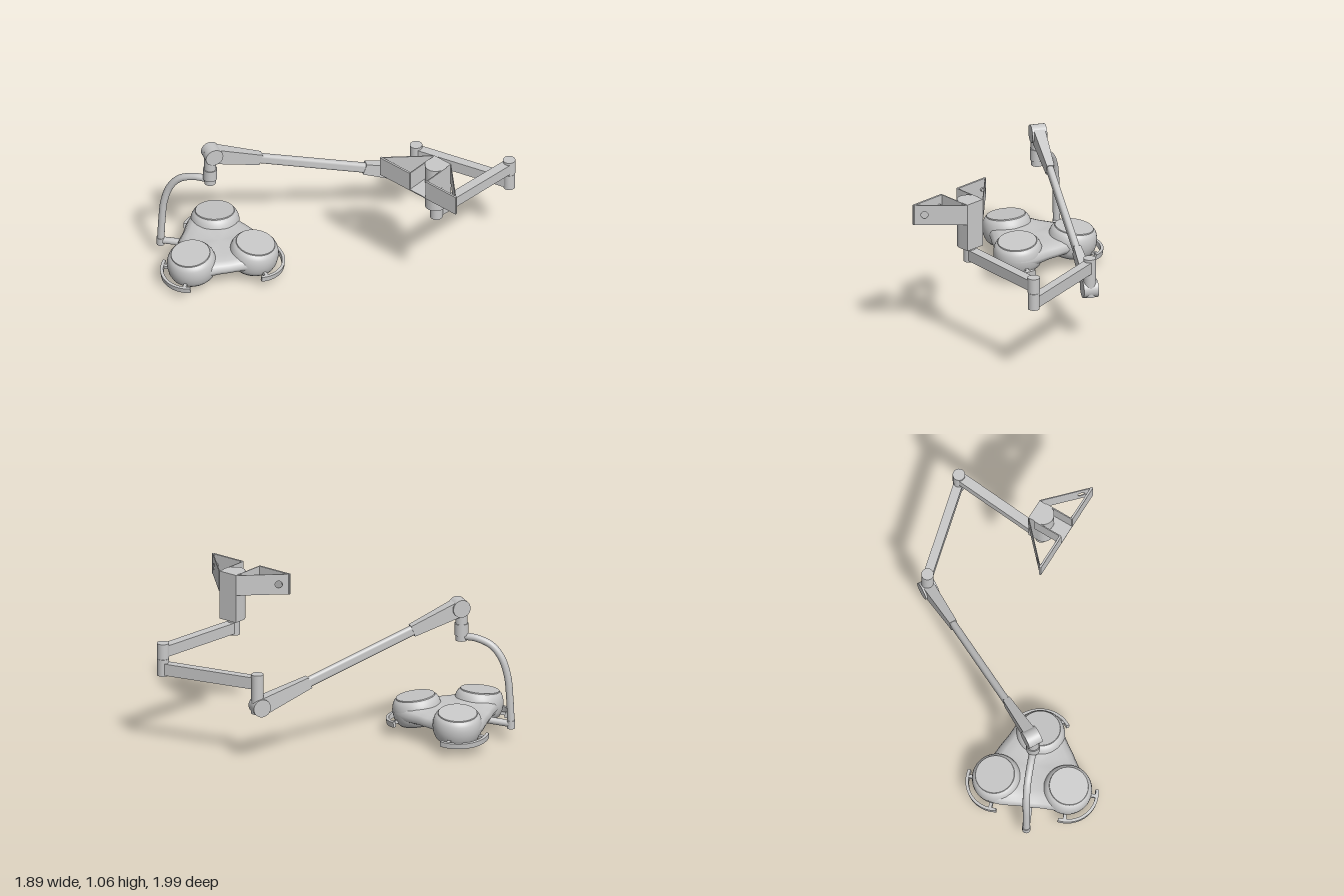
import * as THREE from 'three';
import { mergeVertices, toCreasedNormals } from 'three/addons/utils/BufferGeometryUtils.js';
import { RoundedBoxGeometry } from 'three/addons/geometries/RoundedBoxGeometry.js';

const grey = new THREE.MeshStandardMaterial({ color: 0xc8c8c8 });
grey.name = 'lightGrey';
const V = (x, y, z) => new THREE.Vector3(x, y, z);

function add(parent, name, geometry, x = 0, y = 0, z = 0) {
  const mesh = new THREE.Mesh(geometry, grey);
  mesh.name = name;
  mesh.position.set(x, y, z);
  parent.add(mesh);
  return mesh;
}

// Upright cylinder between two heights
function post(parent, name, x, z, y0, y1, r, sides = 32) {
  return add(parent, name, new THREE.CylinderGeometry(r, r, y1 - y0, sides), x, (y0 + y1) / 2, z);
}

// Bar lying level between two points of the plan
function levelBar(parent, name, [x0, z0], [x1, z1], y, height, width) {
  const length = Math.hypot(x1 - x0, z1 - z0);
  const bar = add(parent, name, new THREE.BoxGeometry(length, height, width), (x0 + x1) / 2, y, (z0 + z1) / 2);
  bar.rotation.y = -Math.atan2(z1 - z0, x1 - x0);
}

// Box along x whose two ends have different height and thickness
function taper(x0, x1, h0, w0, h1, w1) {
  const g = new THREE.BoxGeometry(1, 1, 1);
  const p = g.attributes.position;
  for (let i = 0; i < p.count; i++) {
    const end = p.getX(i) > 0;
    p.setXYZ(i, end ? x1 : x0, p.getY(i) * (end ? h1 : h0), p.getZ(i) * (end ? w1 : w0));
  }
  g.computeVertexNormals();
  return g;
}

function lathe(points, segments = 48) {
  const g = new THREE.LatheGeometry(points.map(([r, y]) => new THREE.Vector2(r, y)), segments);
  return toCreasedNormals(g, 0.6);
}

function buildBracket() {
  const group = new THREE.Group();
  group.name = 'wallBracket';
  const midZ = 0.67, y0 = 0.92, h = 0.14, midY = y0 + h / 2;

  // Column with one rounded side
  const s = new THREE.Shape();
  s.moveTo(0.298, -0.07);
  s.lineTo(0.298, 0.07);
  s.lineTo(0.225, 0.07);
  s.absarc(0.225, 0, 0.07, Math.PI / 2, Math.PI * 1.5, false);
  s.closePath();
  const column = new THREE.ExtrudeGeometry(s, { depth: 0.33, bevelEnabled: false, curveSegments: 20 });
  column.rotateX(Math.PI / 2);
  add(group, 'column', toCreasedNormals(column, 0.6), 0, 1.06, midZ);
  add(group, 'bracketFloor', new THREE.BoxGeometry(0.18, 0.008, 0.14), 0.135, y0 + 0.004, midZ);

  for (const side of [-1, 1]) {
    add(group, 'wallPlate', new THREE.BoxGeometry(0.014, h, 0.258), 0.052, midY, midZ + side * 0.199);
    add(group, 'sidePlate', new THREE.BoxGeometry(0.2, h, 0.007), 0.15, midY, midZ + side * 0.0705);
    for (const d of [0.1, 0.285])
      add(group, 'bolt', new THREE.CylinderGeometry(0.012, 0.012, 0.014, 16).rotateZ(Math.PI / 2),
        0.065, midY, midZ + side * d);

    // Slanting cover with an access hole
    const a = V(0.05, midY, midZ + side * 0.327), b = V(0.297, midY, midZ + side * 0.07);
    const len = a.distanceTo(b);
    const plate = new THREE.Shape();
    plate.moveTo(0, -h / 2);
    plate.lineTo(len, -h / 2);
    plate.lineTo(len, h / 2);
    plate.lineTo(0, h / 2);
    const hole = new THREE.Path();
    hole.absarc(len * 0.21, 0, 0.024, 0, Math.PI * 2, true);
    plate.holes.push(hole);
    const cover = add(group, 'slantedCover',
      new THREE.ExtrudeGeometry(plate, { depth: 0.006, bevelEnabled: false }).translate(0, 0, -0.003), a.x, a.y, a.z);
    cover.rotation.y = -Math.atan2(b.z - a.z, b.x - a.x);
  }
  return group;
}

function buildArms() {
  const group = new THREE.Group();
  group.name = 'armAssembly';
  const hub = [0.24, 0.665], elbow = [0.907, 0.72], knuckle = [0.742, 0.055];

  // Two level arms and their upright pivots
  post(group, 'hub', ...hub, 0.625, 0.74, 0.042);
  levelBar(group, 'firstArm', hub, elbow, 0.675, 0.075, 0.065);
  post(group, 'elbowUpper', ...elbow, 0.625, 0.73, 0.041);
  post(group, 'elbowLower', ...elbow, 0.507, 0.622, 0.039);
  levelBar(group, 'secondArm', elbow, knuckle, 0.555, 0.08, 0.06);
  post(group, 'knucklePost', ...knuckle, 0.345, 0.615, 0.041);

  // Sloping spring arm, built along its own x axis
  const from = V(0.73, 0.39, 0.045), to = V(-0.49, 0.905, -0.65);
  const spring = new THREE.Group();
  spring.name = 'springArm';
  const x = to.clone().sub(from).normalize();
  const z = V(0, 1, 0).cross(x).normalize().negate();
  spring.quaternion.setFromRotationMatrix(new THREE.Matrix4().makeBasis(x, z.clone().cross(x), z));
  spring.position.copy(from);
  const L = from.distanceTo(to);
  add(spring, 'armTube', new RoundedBoxGeometry(L - 0.6, 0.07, 0.045, 4, 0.02), L / 2 + 0.005);
  add(spring, 'lowerSleeve', taper(0, 0.37, 0.115, 0.08, 0.078, 0.05));
  add(spring, 'upperSleeve', taper(L - 0.355, L, 0.078, 0.05, 0.11, 0.08));
  for (const end of [0, L])
    add(spring, 'hingeDrum', new THREE.CylinderGeometry(0.06, 0.06, 0.1, 40).rotateX(Math.PI / 2), end);
  group.add(spring);

  // Drop joint and curved lamp yoke
  const drop = [-0.505, -0.655];
  post(group, 'dropNeck', ...drop, 0.78, 0.93, 0.04);
  post(group, 'dropCollar', ...drop, 0.71, 0.79, 0.046);
  post(group, 'dropCap', ...drop, 0.672, 0.712, 0.038);
  const yoke = new THREE.CatmullRomCurve3([
    V(-0.51, 0.7, -0.665), V(-0.545, 0.695, -0.755), V(-0.583, 0.655, -0.85), V(-0.61, 0.575, -0.91),
    V(-0.63, 0.45, -0.945), V(-0.638, 0.3, -0.957), V(-0.642, 0.12, -0.965)]);
  add(group, 'curvedYoke', new THREE.TubeGeometry(yoke, 48, 0.024, 16));
  post(group, 'yokeFoot', -0.642, -0.965, 0.09, 0.145, 0.027, 24);
  const stub = new THREE.LineCurve3(V(-0.645, 0.12, -0.975), V(-0.54, 0.14, -0.74));
  add(group, 'yokeStub', new THREE.TubeGeometry(stub, 1, 0.023, 16));
  return group;
}

function buildLampHead() {
  const group = new THREE.Group();
  group.name = 'lampHead';
  const cx = -0.477, cz = -0.595;

  // Soft three-cornered shell: a lathe pushed out and thickened toward the lobes
  const shell = new THREE.LatheGeometry([[0, -1], [0.3, -1], [0.6, -0.98], [0.8, -0.88], [0.93, -0.6], [1, 0],
    [0.93, 0.6], [0.8, 0.88], [0.6, 0.98], [0.3, 1], [0, 1]].map(([r, y]) => new THREE.Vector2(r, y)), 72);
  const p = shell.attributes.position;
  for (let i = 0; i < p.count; i++) {
    const r = Math.hypot(p.getX(i), p.getZ(i)), a = Math.atan2(p.getZ(i), p.getX(i));
    const w = Math.pow(Math.max(0, (1 + Math.cos(3 * (a - 3.23))) / 2), 1.5);
    const radius = 0.275 + 0.125 * w;
    p.setXYZ(i, p.getX(i) * radius, 0.158 + p.getY(i) * (0.052 + 0.028 * w * r), p.getZ(i) * radius);
  }
  shell.deleteAttribute('uv');
  shell.deleteAttribute('normal');
  const smooth = mergeVertices(shell, 1e-5);
  smooth.computeVertexNormals();
  add(group, 'shell', smooth, cx, 0, cz);

  // Three tilted light pods; each lists x, z and the middle angle of its handle
  for (const [x, z, mid] of [[-0.74, -0.61, 199], [-0.305, -0.785, 297], [-0.39, -0.375, 67]]) {
    const out = Math.atan2(z - cz, x - cx);
    const pod = new THREE.Group();
    pod.name = 'lightPod';
    pod.position.set(x, 0.16, z);
    pod.rotation.set(0, -out, -0.14);
    add(pod, 'podBody', lathe([[0, -0.085], [0.13, -0.085], [0.146, -0.07], [0.158, -0.04], [0.163, 0],
      [0.161, 0.03], [0.154, 0.058], [0.143, 0.078], [0.13, 0.088], [0, 0.09]]));
    add(pod, 'podCap', new THREE.CylinderGeometry(0.128, 0.13, 0.008, 48), 0, 0.091, 0);
    add(pod, 'lens', new THREE.CylinderGeometry(0.128, 0.128, 0.006, 48), 0, -0.086, 0);

    // Curved grab handle with two pegs
    const m = THREE.MathUtils.degToRad(mid) - out, half = 0.97;
    const arc = new THREE.Shape();
    arc.absarc(0, 0, 0.212, m - half, m + half, false);
    arc.absarc(0, 0, 0.192, m + half, m - half, true);
    arc.closePath();
    const bar = new THREE.ExtrudeGeometry(arc, { depth: 0.036, bevelEnabled: false, curveSegments: 24 });
    add(pod, 'grabHandle', toCreasedNormals(bar.rotateX(Math.PI / 2), 0.6), 0, -0.03, 0);
    for (const side of [-1, 1]) {
      const a = m + side * 0.75;
      const peg = add(pod, 'handlePeg', new THREE.BoxGeometry(0.07, 0.022, 0.022),
        Math.cos(a) * 0.172, -0.046, Math.sin(a) * 0.172);
      peg.rotation.y = -a;
    }
    group.add(pod);
  }

  // Centre grip under the shell
  post(group, 'gripCollar', -0.495, -0.605, 0.075, 0.12, 0.026, 24);
  post(group, 'centreGrip', -0.495, -0.605, 0, 0.09, 0.017, 24);
  return group;
}

export function createModel() {
  const model = new THREE.Group();
  model.name = 'surgicalLamp';
  model.add(buildBracket(), buildArms(), buildLampHead());
  return model;
}
